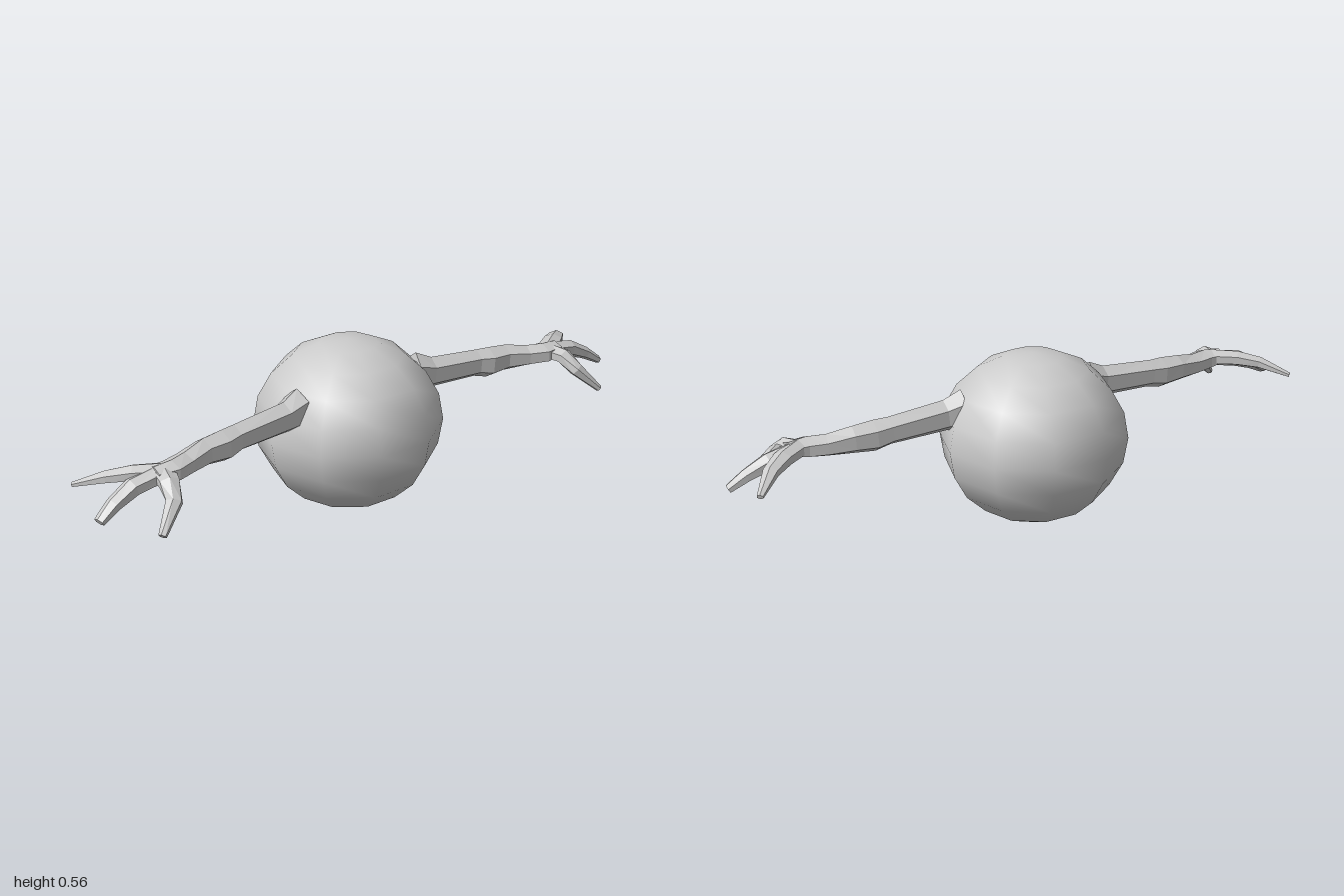
import * as THREE from 'three';

const material = new THREE.MeshStandardMaterial({ color: 0xcccccc });
const limbMaterial = new THREE.MeshStandardMaterial({ color: 0xcccccc, flatShading: true });

// Six-sided limb through stations [x, y, z, half height, half width]; side = -1 mirrors it.
function limb(name, stations, side, sides = 6) {
  const centres = stations.map(([x, y, z]) => new THREE.Vector3(x, y, z));
  const positions = [], index = [];
  const put = (v) => positions.push(v.x * side, v.y, v.z);
  const face = (a, b, c) => (side > 0 ? index.push(a, b, c) : index.push(a, c, b));
  const last = stations.length - 1;
  stations.forEach(([, , , high, wide], i) => {
    const along = centres[Math.min(i + 1, last)].clone().sub(centres[Math.max(i - 1, 0)]).normalize();
    const across = along.clone().cross(new THREE.Vector3(0, 1, 0)).normalize();
    const up = across.clone().cross(along);
    for (let k = 0; k < sides; k++) {
      const a = ((k + 0.5) / sides) * Math.PI * 2;
      put(centres[i].clone()
        .addScaledVector(across, Math.cos(a) * wide * 1.12)
        .addScaledVector(up, Math.sin(a) * high));
    }
  });
  for (let i = 0; i < last; i++) {
    for (let k = 0; k < sides; k++) {
      const a = i * sides + k, b = i * sides + (k + 1) % sides;
      face(a, a + sides, b);
      face(b, a + sides, b + sides);
    }
  }
  // End caps
  for (let k = 1; k < sides - 1; k++) {
    face(0, k, k + 1);
    face(last * sides, last * sides + k + 1, last * sides + k);
  }
  const geometry = new THREE.BufferGeometry();
  geometry.setAttribute('position', new THREE.Float32BufferAttribute(positions, 3));
  geometry.setIndex(index);
  const flat = geometry.toNonIndexed();
  flat.computeVertexNormals();
  const mesh = new THREE.Mesh(flat, limbMaterial);
  mesh.name = name;
  return mesh;
}

const ARM = [
  [0.225, 0.40, 0.045, 0.068, 0.047],
  [0.29, 0.388, 0.055, 0.052, 0.038],
  [0.48, 0.375, 0.062, 0.046, 0.037],
  [0.53, 0.367, 0.068, 0.052, 0.042],
  [0.60, 0.367, 0.072, 0.045, 0.037],
  [0.68, 0.36, 0.09, 0.036, 0.038],
  [0.74, 0.36, 0.108, 0.034, 0.042],
  [0.80, 0.364, 0.105, 0.024, 0.036],
];

const FINGERS = {
  thumb: [
    [0.765, 0.362, 0.10, 0.026, 0.036],
    [0.785, 0.355, 0.165, 0.025, 0.03],
    [0.80, 0.318, 0.212, 0.023, 0.024],
    [0.87, 0.245, 0.253, 0.011, 0.012],
  ],
  middleFinger: [
    [0.76, 0.364, 0.105, 0.027, 0.034],
    [0.87, 0.342, 0.10, 0.028, 0.03],
    [0.94, 0.31, 0.107, 0.021, 0.024],
    [0.995, 0.275, 0.117, 0.013, 0.018],
  ],
  backFinger: [
    [0.76, 0.365, 0.11, 0.026, 0.034],
    [0.84, 0.362, 0.055, 0.025, 0.03],
    [0.90, 0.35, 0.008, 0.02, 0.024],
    [0.97, 0.316, -0.07, 0.008, 0.01],
  ],
};

export function createModel() {
  const model = new THREE.Group();
  model.name = 'roundBodyWithArms';

  // Smooth ten-sided ball
  const body = new THREE.Mesh(new THREE.SphereGeometry(0.303, 10, 20 / 2), material);
  body.name = 'body';
  body.scale.y = 0.28 / 0.303;
  body.position.y = 0.28;
  model.add(body);

  // Mirrored arms, each ending in three claws
  for (const [label, side] of [['left', 1], ['right', -1]]) {
    const arm = new THREE.Group();
    arm.name = label + 'Arm';
    arm.add(limb(label + 'Forearm', ARM, side));
    for (const [name, stations] of Object.entries(FINGERS)) {
      arm.add(limb(label + name[0].toUpperCase() + name.slice(1), stations, side));
    }
    model.add(arm);
  }
  return model;
}
